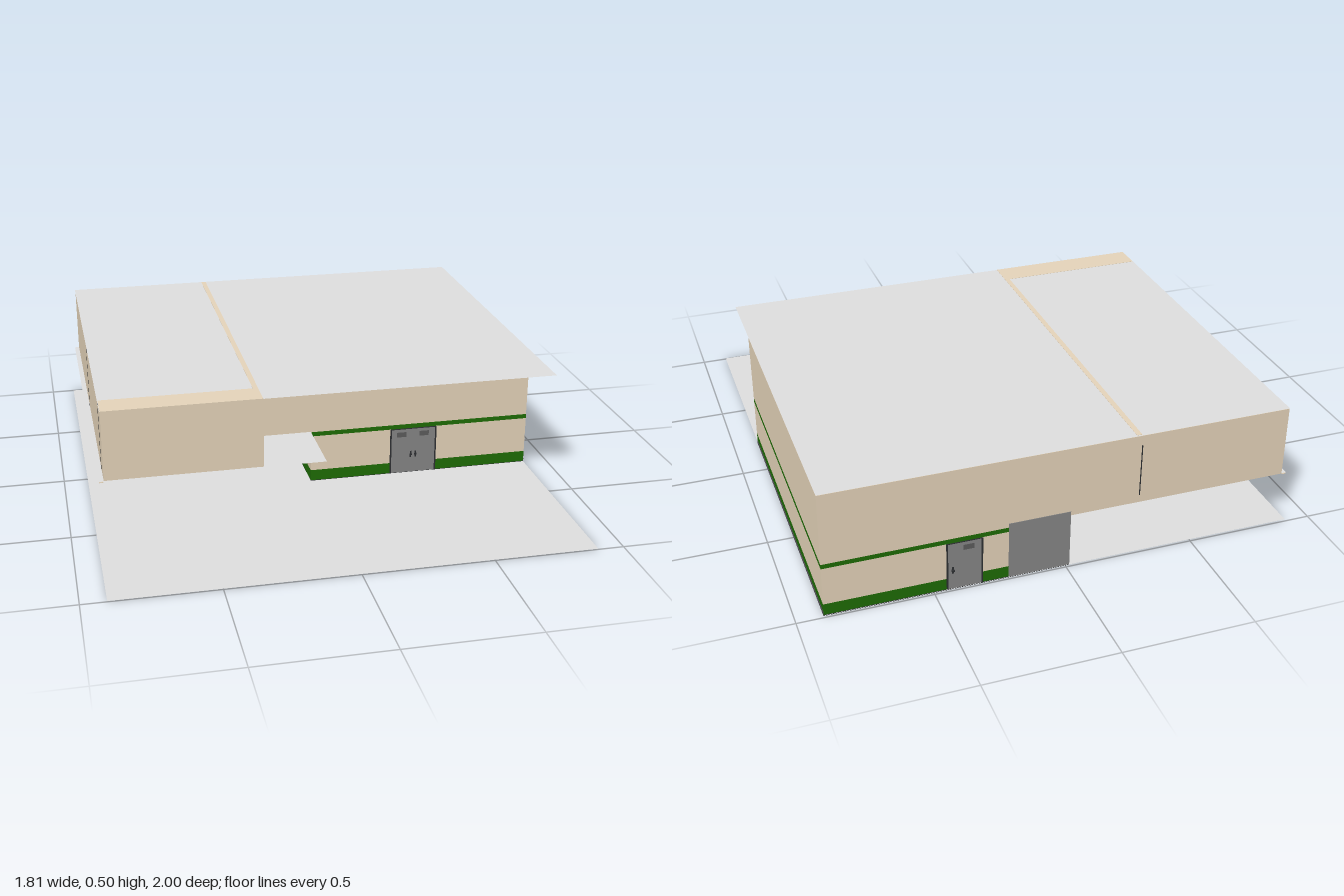
import * as THREE from 'three';

const paint = (name, color, side = THREE.FrontSide) => {
  const m = new THREE.MeshStandardMaterial({ color, side });
  m.name = name;
  return m;
};

export function createModel() {
  const beige = paint('beige wall', 0xe5d4ba);
  const green = paint('green trim', 0x1e6c04);
  const slab = paint('light grey slab', 0xdfdfdf, THREE.DoubleSide);
  const doorGrey = paint('door grey', 0x868686);
  const glass = paint('dark glass', 0x5c5c5c);
  const skirtGrey = paint('skirt grey', 0x545058);
  const dark = paint('dark frame', 0x2e3033);

  const model = new THREE.Group();
  model.name = 'building';

  // Box given by its limits on each axis
  const box = (name, mat, [x0, x1], [y0, y1], [z0, z1], parent = model) => {
    const mesh = new THREE.Mesh(new THREE.BoxGeometry(x1 - x0, y1 - y0, z1 - z0), mat);
    mesh.position.set((x0 + x1) / 2, (y0 + y1) / 2, (z0 + z1) / 2);
    mesh.name = name;
    parent.add(mesh);
  };

  // Horizontal sheets: ground, soffit under the overhang, roof
  const sheet = (name, [x0, x1], y, [z0, z1]) => {
    const mesh = new THREE.Mesh(new THREE.PlaneGeometry(x1 - x0, z1 - z0).rotateX(-Math.PI / 2), slab);
    mesh.position.set((x0 + x1) / 2, y, (z0 + z1) / 2);
    mesh.name = name;
    model.add(mesh);
  };
  const back = -0.991;
  sheet('ground', [-0.905, 0.9], 0.003, [-0.993, 1]);
  sheet('soffit', [-0.885, -0.015], 0.22, [back, 0.5]);
  sheet('roof', [-0.868, 0.9], 0.5, [back, 0.5]);
  box('soffitEdgeTrim', beige, [-0.884, -0.868], [0.214, 0.217], [back, 0.499]);

  // Ground floor in horizontal bands
  const lowX = [-0.015, 0.9], lowZ = [back, 0.211];
  box('greenBase', green, lowX, [0.005, 0.05], lowZ);
  box('lowerWall', beige, lowX, [0.05, 0.2], lowZ);
  box('greenStripe', green, lowX, [0.2, 0.218], lowZ);
  box('sideSkirt', skirtGrey, [0.899, 0.901], [0, 0.016], lowZ);

  // Thin footing outline under the ground sheet
  for (const z of [back, 0.207]) box('footing', dark, lowX, [0, 0.005], [z, z + 0.004]);
  box('footing', dark, [-0.015, -0.011], [0, 0.005], lowZ);

  // Upper floor walls
  const upY = [0.222, 0.499];
  box('upperFrontWall', beige, [-0.26, 0.9], [0.218, 0.499], [0.19, 0.21]);
  box('upperRightWall', beige, [0.88, 0.9], [0.218, 0.499], [back, 0.21]);
  box('upperBackWall', beige, [-0.866, 0.9], [0.218, 0.499], [back, -0.97]);
  box('upperSideWall', beige, [-0.866, -0.85], upY, [-0.97, 0.39]);

  // Projecting front bay and partition, whose tops show through the roof
  box('frontBay', beige, [-0.866, -0.26], [0.222, 0.501], [0.39, 0.5]);
  box('partitionWall', beige, [-0.28, -0.26], [0.222, 0.501], [-0.985, 0.39]);

  // Fine panel joints on the outer side wall
  for (const z of [-0.25, 0.39]) {
    box('panelJoint', dark, [-0.867, -0.866], upY, [z - 0.001, z + 0.001]);
  }

  // Door leaf with frame, windows and handles, built facing +z around x = 0
  const door = (name, w, h, windows, handles, grip) => {
    const g = new THREE.Group();
    g.name = name;
    const r = w / 2;
    box('doorLeaf', doorGrey, [-r, r], [0.005, h], [0, 0.0015], g);
    for (const s of [-1, 1]) {
      box('doorJamb', dark, [s * r - 0.003, s * r + 0.003], [0.004, h], [0, 0.0025], g);
    }
    box('doorHead', dark, [-r, r], [h - 0.002, h + 0.001], [0, 0.0025], g);
    for (const x of windows) box('doorWindow', glass, [x - 0.02, x + 0.02], [0.163, 0.184], [0.0015, 0.0025], g);
    for (const x of handles) {
      box('doorHandle', dark, [x - 0.003, x + 0.003], [0.07, 0.098], [0.0015, 0.003], g);
      box('handleGrip', dark, [x - 0.005, x + 0.005], [0.08, 0.087], [0.0015, grip], g);
    }
    model.add(g);
    return g;
  };
  door('frontDoubleDoor', 0.19, 0.199, [-0.05, 0.045], [-0.01, 0.01], 0.004).position.set(0.415, 0, 0.211);
  const backDoor = door('backDoor', 0.13, 0.199, [0.015], [-0.045], 0.009);
  backDoor.position.set(0.385, 0, back);
  backDoor.rotation.y = Math.PI;

  // Plain shutter and thin conduit on the back
  box('backShutter', doorGrey, [-0.015, 0.22], [0.004, 0.235], [back - 0.002, back]);
  box('backConduit', dark, [-0.282, -0.279], [0.25, 0.46], [back - 0.003, back]);

  return model;
}
